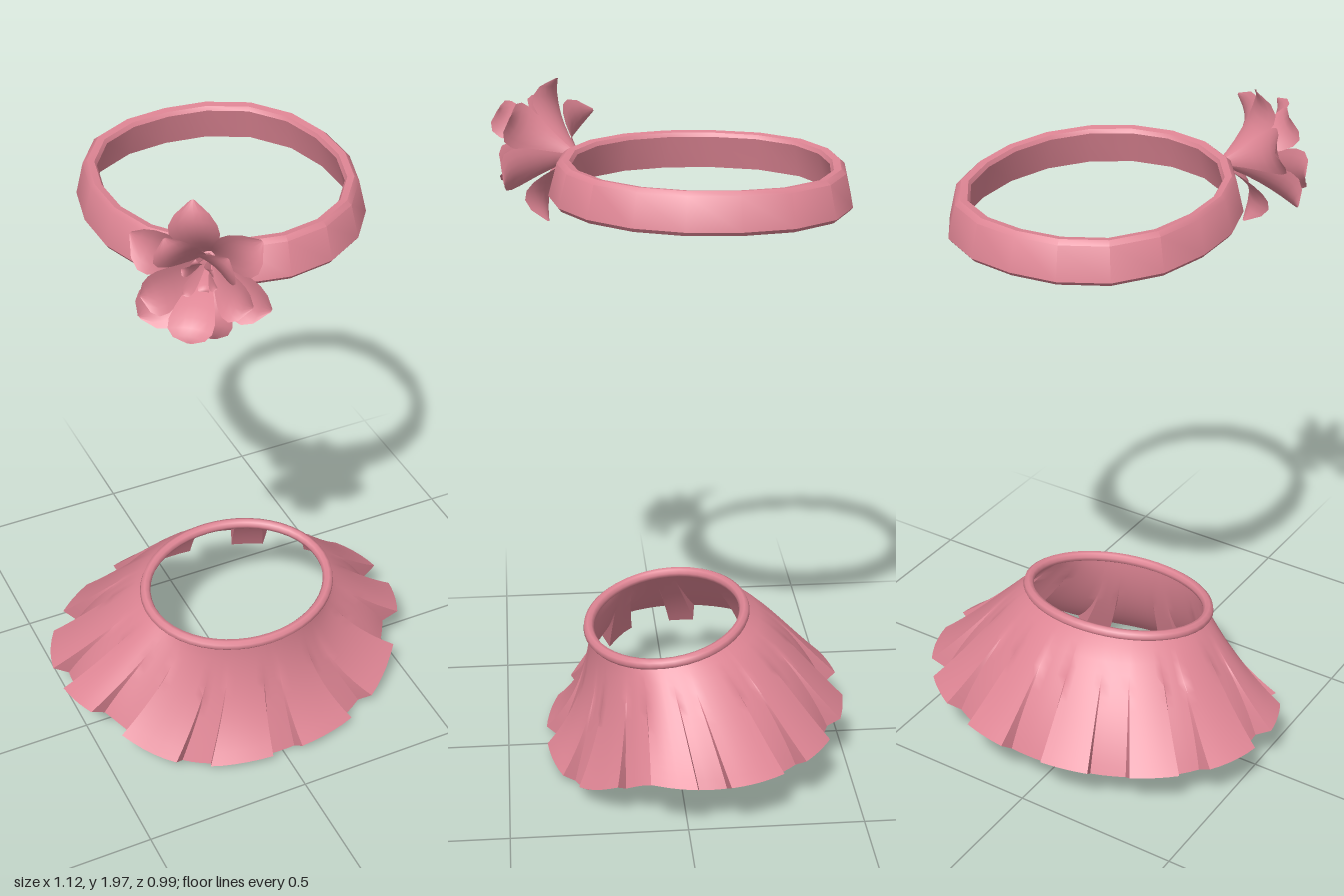
import * as THREE from 'three';
import { toCreasedNormals } from 'three/addons/utils/BufferGeometryUtils.js';

const rosePink = new THREE.MeshStandardMaterial({ color: 0xde8594, side: THREE.DoubleSide });
rosePink.name = 'rosePink';

function part(name, geometry) {
  const mesh = new THREE.Mesh(geometry, rosePink);
  mesh.name = name;
  return mesh;
}

// Slanted waistline; t runs from the back (0) round to the front (PI)
const waist = (t, inset = 0) => new THREE.Vector3(
  (0.295 - inset) * Math.sin(t), 0.435 + 0.033 * Math.cos(t), 0.022 - (0.24 - inset) * Math.cos(t));

// Pleated skirt sheet: raised panels alternate with recessed ones
function skirtGeometry() {
  const half = [[7, 22], [35, 51], [62, 83], [95, 112], [125, 144], [155, 175]];
  const panels = [...half, ...half.map(([a, b]) => [360 - b, 360 - a]).reverse()];
  const columns = []; // [degrees, raised or not]
  panels.forEach(([a, b], i) => {
    const next = i + 1 < panels.length ? panels[i + 1][0] : panels[0][0] + 360;
    for (let k = 0; k <= 5; k++) columns.push([a + (b - a) * k / 5, true]);
    for (let k = 0; k <= 3; k++) columns.push([b + 0.5 + (next - b - 1) * k / 3, false]);
  });
  const rows = 12, pos = [], idx = [], n = columns.length;
  for (let j = 0; j <= rows; j++) {
    const v = j / rows;
    for (const [deg, raised] of columns) {
      const t = THREE.MathUtils.degToRad(deg);
      const front = THREE.MathUtils.smoothstep(-Math.cos(t), 0.2, 0.95);
      const drop = THREE.MathUtils.smoothstep(-Math.cos(t), 0.35, 0.95);
      const back = Math.max(0, Math.cos(t));
      const w = waist(t, 0.012);
      // the pleat depth fades towards the waist
      const s = 0.955 + (raised ? 0.045 : -0.04) * v * v;
      const hemY = 0.168 - 0.135 * drop + (raised ? 0.015 : -0.015) * v * v;
      const f = Math.pow(v, 0.92 + 0.95 * front - 0.2 * back);
      pos.push(
        w.x + (0.56 * s * Math.sin(t) - w.x) * f,
        w.y + (hemY - w.y) * v,
        w.z + (-0.06 - 0.445 * s * Math.cos(t) - w.z) * f);
    }
  }
  for (let j = 0; j < rows; j++) {
    for (let i = 0; i < n; i++) {
      const a = j * n + i, b = j * n + (i + 1) % n;
      idx.push(a, b, a + n, b, b + n, a + n);
    }
  }
  const g = new THREE.BufferGeometry();
  g.setAttribute('position', new THREE.Float32BufferAttribute(pos, 3));
  g.setIndex(idx);
  return toCreasedNormals(g, 0.7);
}

// Head band: a flared lathe, slightly squared off on its diagonals
function bandGeometry() {
  const profile = [
    [0.335, -0.052], [0.36, -0.056], [0.368, -0.045], [0.348, 0.045], [0.336, 0.056],
    [0.318, 0.053], [0.312, 0.042], [0.335, -0.052],
  ].map(([r, y]) => new THREE.Vector2(r, y));
  const g = new THREE.LatheGeometry(profile, 18);
  const p = g.attributes.position;
  for (let i = 0; i < p.count; i++) {
    const x = p.getX(i), z = p.getZ(i);
    const diagonal = Math.sin(2 * Math.atan2(x, z)) ** 2;
    const k = 1 + (z < 0 ? 0.055 : 0.01) * diagonal;
    p.setX(i, x * k);
    p.setZ(i, z * k * 1.125);
  }
  return toCreasedNormals(g, 0.7);
}

// Cupped petal growing from the origin along +y and opening towards +z
function petalGeometry(length, width, depth, curl) {
  const g = new THREE.PlaneGeometry(2, 1, 6, 8);
  const p = g.attributes.position;
  for (let i = 0; i < p.count; i++) {
    const u = p.getX(i), v = p.getY(i) + 0.5;
    const w = width * (0.08 + 0.92 * Math.pow(Math.sin(Math.PI * Math.pow(v, 1.7)), 0.8));
    p.setXYZ(i, u * w,
      length * Math.pow(v, 1.1),
      depth * Math.sin(v * Math.PI * 0.52) + 0.3 * w * u * u - curl * Math.pow(v, 4));
  }
  g.computeVertexNormals();
  return g;
}

function petalRing(name, count, length, width, depth, curl, turn) {
  const ring = new THREE.Group();
  ring.name = name;
  for (let i = 0; i < count; i++) {
    const wobble = Math.sin(i * 2.4 + turn);
    const petal = part('petal', petalGeometry(
      length * (1 + 0.05 * wobble), width, depth * (1 - 0.12 * wobble), curl * (1 + wobble)));
    petal.rotation.z = turn + i * Math.PI * 2 / count;
    ring.add(petal);
  }
  return ring;
}

export function createModel() {
  const model = new THREE.Group();

  // Skirt with a rolled waist edge
  const skirt = new THREE.Group();
  skirt.name = 'skirt';
  skirt.add(part('pleats', skirtGeometry()));
  const loop = [];
  for (let i = 0; i < 24; i++) loop.push(waist(i * Math.PI / 12, 0.01));
  skirt.add(part('waistRoll', new THREE.TubeGeometry(
    new THREE.CatmullRomCurve3(loop, true), 48, 0.016, 8, true)));
  model.add(skirt);

  const band = part('headBand', bandGeometry());
  band.rotation.x = -0.02;
  band.position.set(0, 1.76, -0.075);
  model.add(band);

  // Open blossom, its stem end tucked through the right front of the band
  const flower = new THREE.Group();
  flower.name = 'flower';
  flower.add(petalRing('outerPetals', 6, 0.195, 0.064, 0.15, 0.03, 0.1));
  flower.add(petalRing('middlePetals', 5, 0.14, 0.058, 0.215, 0.01, 0.55));
  flower.add(petalRing('innerPetals', 6, 0.05, 0.016, 0.16, 0.01, 0.2));
  flower.position.set(-0.175, 1.785, 0.24);
  flower.quaternion.setFromUnitVectors(
    new THREE.Vector3(0, 0, 1), new THREE.Vector3(-0.58, 0.1, 0.8).normalize());
  model.add(flower);

  return model;
}
